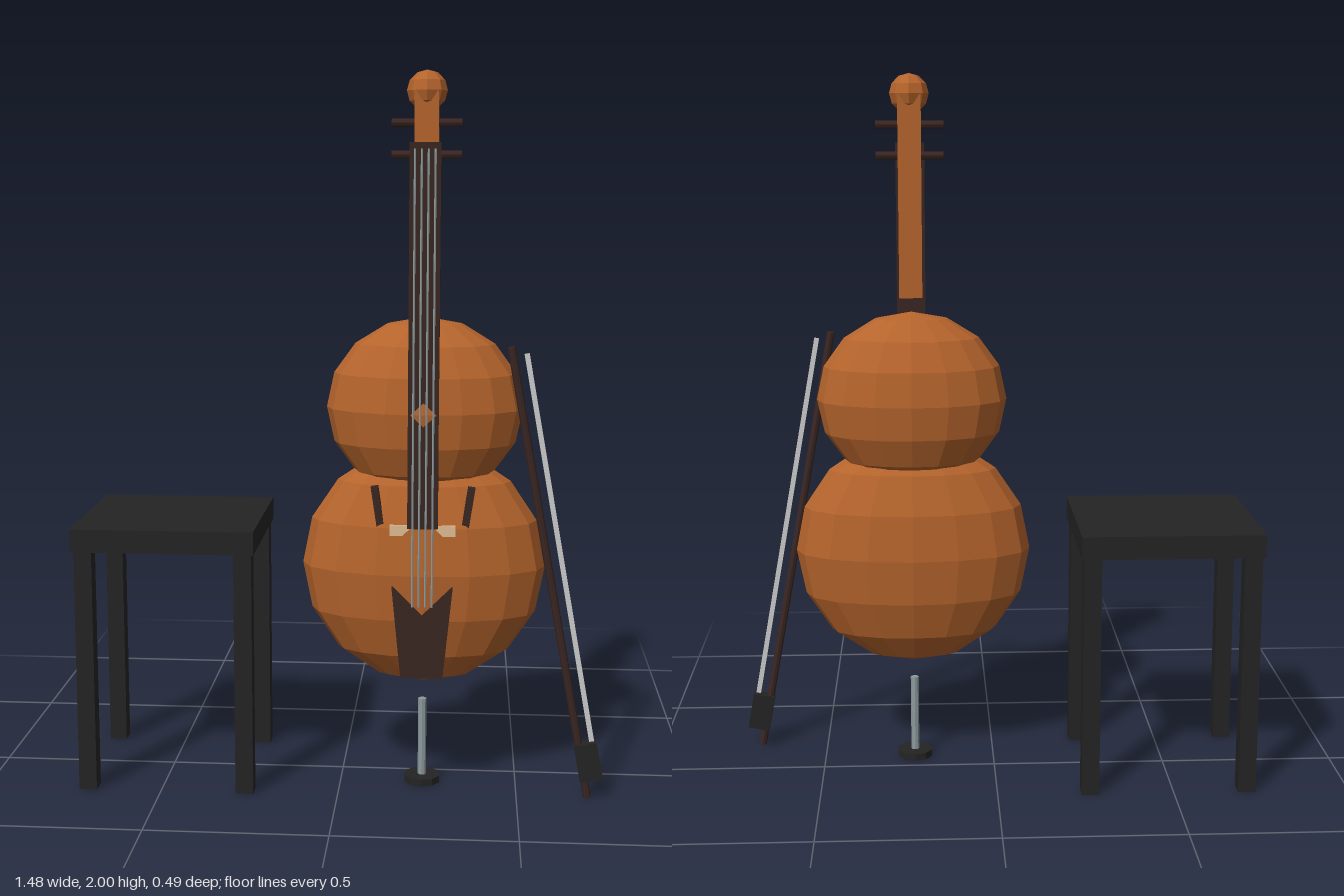
import * as THREE from 'three';

const material = (color) => new THREE.MeshStandardMaterial({ color, flatShading: true });

export function createModel() {
  const model = new THREE.Group();
  const wood = material(0xb5642c);
  const ebony = material(0x3a2622);
  const black = material(0x242424);
  const steel = material(0x8c999c);
  const maple = material(0xe0bd94);
  const hairGrey = material(0xc8c8c4);

  const add = (parent, name, geometry, mat, x = 0, y = 0, z = 0) => {
    const mesh = new THREE.Mesh(geometry, mat);
    mesh.name = name;
    mesh.position.set(x, y, z);
    parent.add(mesh);
    return mesh;
  };
  const box = (w, h, d) => new THREE.BoxGeometry(w, h, d);
  const rod = (r, h, sides = 8) => new THREE.CylinderGeometry(r, r, h, sides);
  const group = (name, x, y, z) => {
    const g = new THREE.Group();
    g.name = name;
    g.position.set(x, y, z);
    model.add(g);
    return g;
  };

  // Stool: square seat on four legs
  const stool = group('stool', -0.485, 0, -0.003);
  add(stool, 'seat', box(0.51, 0.065, 0.48), black, 0, 0.723, 0);
  for (const sx of [-1, 1]) for (const sz of [-1, 1]) {
    add(stool, 'stoolLeg', box(0.05, 0.69, 0.05), black, sx * 0.223, 0.345, sz * 0.206);
  }

  // Instrument, centred on its own upright axis
  const cello = group('cello', 0.233, 0, 0.085);

  // Body: two flattened spheres
  const bout = (name, rx, ry, y) =>
    add(cello, name, new THREE.SphereGeometry(1, 16, 8).scale(rx, ry, 0.155), wood, 0, y, 0);
  bout('lowerBody', 0.34, 0.34, 0.64);
  bout('upperBody', 0.272, 0.252, 1.085);

  // Neck, head and scroll
  add(cello, 'neck', box(0.065, 0.41, 0.065), wood, 0, 1.585, -0.011);
  add(cello, 'head', box(0.065, 0.185, 0.085), wood, 0, 1.85, 0);
  add(cello, 'scroll', new THREE.SphereGeometry(0.055, 8, 6), wood, 0, 1.945, 0);
  for (const y of [1.775, 1.86]) {
    add(cello, 'tuningPegs', rod(0.011, 0.19), ebony, 0, y, 0).rotation.z = Math.PI / 2;
  }

  // Fingerboard and strings
  add(cello, 'fingerboard', box(0.083, 1.035, 0.028), ebony, 0, 1.29, 0.137);
  for (let i = 0; i < 4; i++) {
    add(cello, 'string', rod(0.003, 1.235, 5), steel, (i - 1.5) * 0.018, 1.173, 0.156);
  }

  // Bridge and slanted sound holes
  add(cello, 'bridge', box(0.18, 0.03, 0.05), maple, 0, 0.765, 0.115);
  for (const s of [-1, 1]) {
    add(cello, 'soundHole', box(0.02, 0.125, 0.022), ebony, s * 0.123, 0.822, 0.119)
      .rotation.z = -s * 0.15;
  }

  // Tailpiece: tapered plate
  const plate = new THREE.Shape([
    new THREE.Vector2(-0.058, 0.35), new THREE.Vector2(0.058, 0.35),
    new THREE.Vector2(0.084, 0.61), new THREE.Vector2(-0.084, 0.61),
  ]);
  add(cello, 'tailpiece',
    new THREE.ExtrudeGeometry(plate, { depth: 0.04, bevelEnabled: false }), ebony, 0, 0, 0.105);

  // Floor spike with round foot
  add(cello, 'endpin', rod(0.012, 0.235), steel, 0, 0.128, 0);
  add(cello, 'endpinFoot', rod(0.052, 0.02, 10), black, 0, 0.01, 0);

  // Bow leaning against the body
  const bow = group('bow', 0.698, 0.002, 0.185);
  bow.rotation.z = 0.181;
  add(bow, 'bowStick', rod(0.011, 1.285), ebony, 0, 0.6425, 0);
  add(bow, 'bowHair', box(0.014, 1.1, 0.008), hairGrey, 0.038, 0.71, 0);
  add(bow, 'bowFrog', box(0.064, 0.108, 0.034), black, 0.019, 0.104, 0);

  return model;
}
